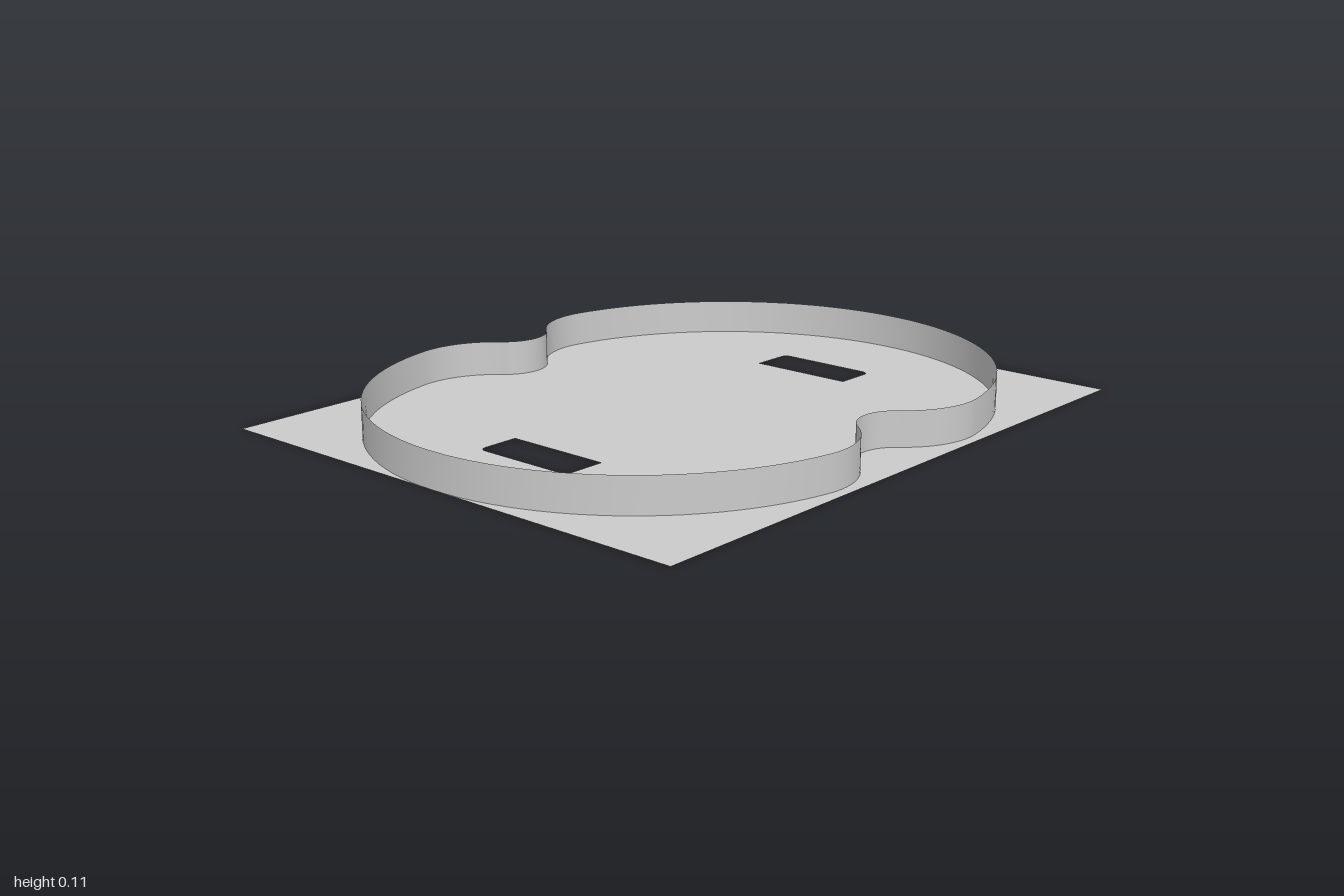
import * as THREE from 'three';

const W = 0.825, D = 1, WALL_H = 0.107;

// Plan of the wall in (x, z): two big lobes joined by a filleted waist.
function wallOutline() {
  const lobeR = 0.8, lobeZ = 0.2, filletR = 0.25;
  const a = 0.176, t = 0.908; // where the lobe meets the fillet, and the fillet meets the waist
  const fx = (lobeR - filletR) * Math.cos(a);
  const fz = lobeZ + (lobeR - filletR) * Math.sin(a);
  const reach = fz / Math.sin(t);
  const waistX = fx + reach * Math.cos(t), waistR = reach - filletR;
  const path = new THREE.Path();
  for (const half of [0, 1]) {
    const s = half ? -1 : 1, turn = half * Math.PI;
    const arc = (x, z, r, from, to, cw = false) =>
      path.absarc(s * x, s * z, r, from + turn, to + turn, cw);
    arc(waistX, 0, waistR, Math.PI + t, Math.PI - t, true);
    arc(fx, fz, filletR, -t, a);
    arc(0, lobeZ, lobeR, a, Math.PI - a);
    arc(-fx, fz, filletR, Math.PI - a, Math.PI + t);
  }
  const pts = path.getPoints(24);
  // drop doubled points at the joints
  return pts.filter((p, i) => p.distanceTo(pts[(i + 1) % pts.length]) > 1e-4);
}

// Closed upright ribbon following the outline.
function ribbon(points, height) {
  const pos = [], index = [], n = points.length;
  points.forEach((p, i) => {
    pos.push(p.x, 0, p.y, p.x, height, p.y);
    const b = 2 * i, c = 2 * ((i + 1) % n);
    index.push(b, b + 1, c, c, b + 1, c + 1);
  });
  const geo = new THREE.BufferGeometry();
  geo.setAttribute('position', new THREE.Float32BufferAttribute(pos, 3));
  geo.setIndex(index);
  geo.computeVertexNormals();
  return geo;
}

// Slot with square inner corners and rounded outer corners.
function slot(side) {
  const w = 0.168, z0 = 0.547 * side, z1 = 0.682 * side, r = 0.025;
  const hole = new THREE.Path();
  hole.moveTo(-w, z0);
  hole.lineTo(w, z0);
  hole.lineTo(w, z1 - r * side);
  hole.quadraticCurveTo(w, z1, w - r, z1);
  hole.lineTo(-w + r, z1);
  hole.quadraticCurveTo(-w, z1, -w, z1 - r * side);
  hole.closePath();
  return hole;
}

export function createModel() {
  const model = new THREE.Group();
  const material = new THREE.MeshStandardMaterial({ color: 0xcccccc, side: THREE.DoubleSide });

  // thin base sheet with a slot at each end
  const sheet = new THREE.Shape([
    new THREE.Vector2(-W, -D), new THREE.Vector2(W, -D),
    new THREE.Vector2(W, D), new THREE.Vector2(-W, D),
  ]);
  sheet.holes.push(slot(1), slot(-1));
  const base = new THREE.Mesh(new THREE.ShapeGeometry(sheet, 8).rotateX(-Math.PI / 2), material);
  base.name = 'basePlate';

  // waisted rim wall standing on the sheet
  const wall = new THREE.Mesh(ribbon(wallOutline(), WALL_H), material);
  wall.name = 'rimWall';

  model.add(base, wall);
  return model;
}
